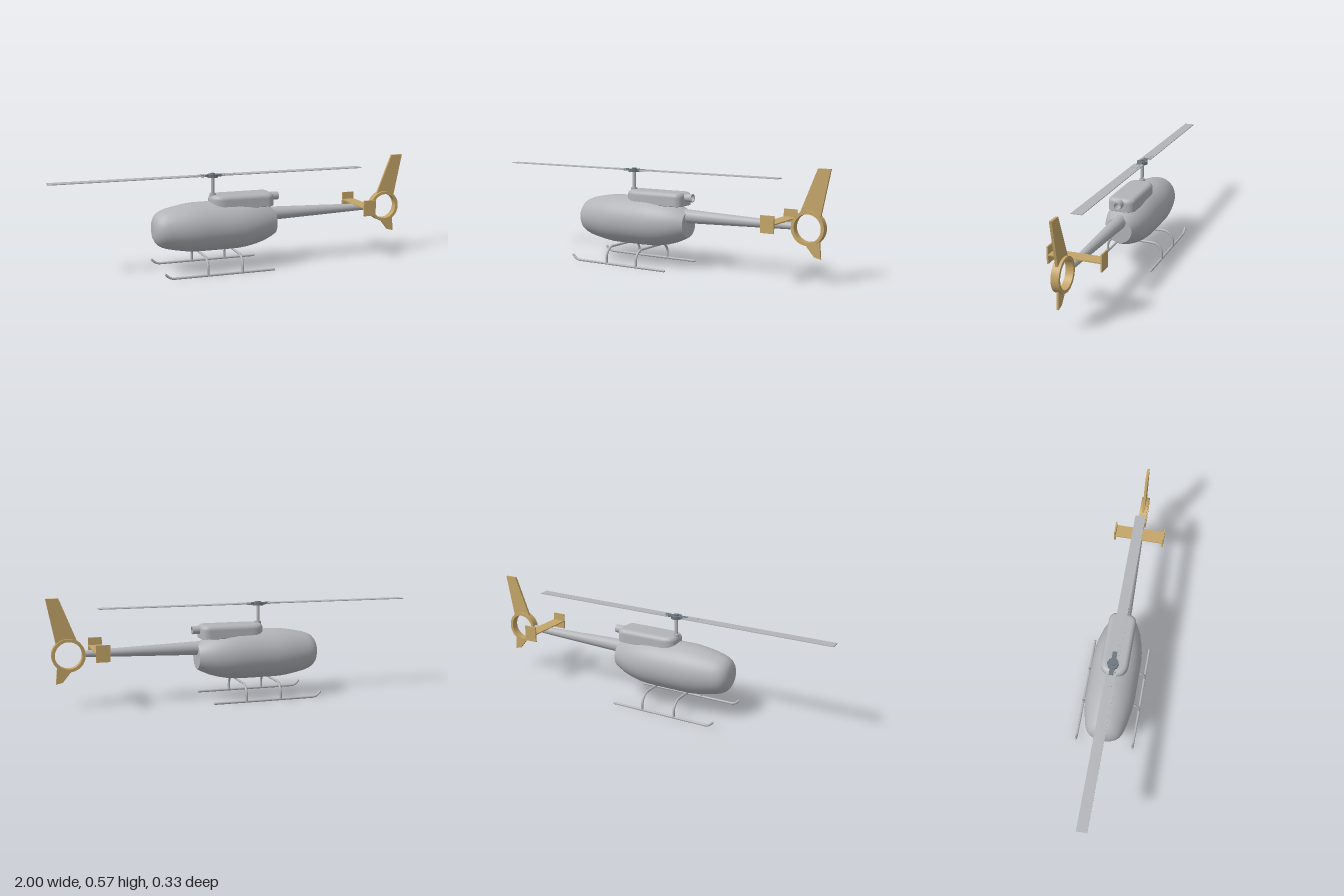
import * as THREE from 'three';

const paint = (name, color) => {
  const m = new THREE.MeshStandardMaterial({ color });
  m.name = name;
  return m;
};

export function createModel() {
  const model = new THREE.Group();
  model.name = 'helicopter';
  const grey = paint('bodyGrey', 0xb2b4b8);
  const tan = paint('tailTan', 0xc4a568);
  const dark = paint('hubGrey', 0x6c767e);

  const add = (name, geometry, material, x = 0, y = 0, z = 0) => {
    const mesh = new THREE.Mesh(geometry, material);
    mesh.name = name;
    mesh.position.set(x, y, z);
    model.add(mesh);
    return mesh;
  };
  const box = (name, material, w, h, d, x, y, z) =>
    add(name, new THREE.BoxGeometry(w, h, d), material, x, y, z);
  // Turned part whose axis runs along x; profile is [x, radius]
  const turned = (name, material, profile, y) => {
    const pts = profile.map(([x, r]) => new THREE.Vector2(r, x));
    const g = new THREE.LatheGeometry(pts, 48).rotateZ(-Math.PI / 2);
    return add(name, g, material, 0, y, 0);
  };
  // Flat plate drawn in the x-y plane, centred on z = 0
  const plate = (name, material, shape, depth) => {
    const g = new THREE.ExtrudeGeometry(shape, { depth, bevelEnabled: false, curveSegments: 32 });
    return add(name, g.translate(0, 0, -depth / 2), material);
  };
  const polygon = (pts) => new THREE.Shape(pts.map(([x, y]) => new THREE.Vector2(x, y)));

  // Fuselage with a flat rear bulkhead
  turned('fuselage', grey, [
    [-0.465, 0], [-0.465, 0.035], [-0.461, 0.055], [-0.452, 0.073], [-0.438, 0.088],
    [-0.42, 0.098], [-0.395, 0.107], [-0.35, 0.117], [-0.3, 0.126], [-0.25, 0.132],
    [-0.2, 0.133], [-0.06, 0.133], [0, 0.132], [0.05, 0.127], [0.1, 0.117],
    [0.15, 0.102], [0.19, 0.084], [0.215, 0.07],
  ], 0.236);
  add('rearBulkhead', new THREE.CircleGeometry(0.07, 48).rotateY(Math.PI / 2), grey, 0.215, 0.236);
  turned('tailBoom', grey, [[0.17, 0.038], [0.82, 0.017]], 0.28);

  // Engine cowling: rounded plan, wider radius at the front, soft top edge
  const bevel = 0.024;
  const x0 = -0.15 + bevel, x1 = 0.2 - bevel, w = 0.074 - bevel;
  const plan = new THREE.Shape();
  plan.moveTo(x0 + 0.05, -w);
  plan.lineTo(x1 - 0.02, -w);
  plan.quadraticCurveTo(x1, -w, x1, -w + 0.02);
  plan.lineTo(x1, w - 0.02);
  plan.quadraticCurveTo(x1, w, x1 - 0.02, w);
  plan.lineTo(x0 + 0.05, w);
  plan.quadraticCurveTo(x0, w, x0, w - 0.035);
  plan.lineTo(x0, -w + 0.035);
  plan.quadraticCurveTo(x0, -w, x0 + 0.05, -w);
  const cowl = new THREE.ExtrudeGeometry(plan, {
    depth: 0.045, bevelSize: bevel, bevelThickness: bevel, bevelSegments: 8, curveSegments: 12,
  }).rotateX(-Math.PI / 2);
  // Flatten the lower bevel so that only the top edge stays round
  const cp = cowl.attributes.position;
  for (let i = 0; i < cp.count; i++) if (cp.getY(i) < 0) cp.setY(i, cp.getY(i) * 0.2);
  cowl.computeVertexNormals();
  add('engineCowling', cowl, grey, 0, 0.336, 0);

  // Hollow exhaust
  turned('exhaust', grey, [[0.17, 0.022], [0.24, 0.022]], 0.378);
  turned('exhaustLip', grey, [[0.24, 0.022], [0.2401, 0.017]], 0.378);
  turned('exhaustBore', grey, [[0.24, 0.017], [0.205, 0.017], [0.205, 0]], 0.378);

  // Main rotor
  const rx = -0.1325;
  add('mastCollar', new THREE.CylinderGeometry(0.018, 0.018, 0.016, 32), grey, rx, 0.405);
  add('mast', new THREE.CylinderGeometry(0.009, 0.009, 0.11, 24), grey, rx, 0.452);
  add('rotorHub', new THREE.CylinderGeometry(0.031, 0.031, 0.016, 8), dark, rx, 0.507);
  add('hubCap', new THREE.CylinderGeometry(0.013, 0.013, 0.01, 24), dark, rx, 0.516);
  for (const s of [-1, 1]) {
    box('bladeGrip', dark, 0.05, 0.011, 0.024, rx + s * 0.04, 0.509, 0);
    box('bladeRoot', grey, 0.08, 0.008, 0.03, rx + s * 0.085, 0.51, 0);
    box('rotorBlade', grey, 0.8175, 0.004, 0.056, rx + s * 0.45875, 0.51, 0);
  }

  // Shrouded tail ring
  const ring = new THREE.Shape().absarc(0.893, 0.277, 0.086, 0, Math.PI * 2);
  ring.holes.push(new THREE.Path().absarc(0.893, 0.277, 0.07, 0, Math.PI * 2, true));
  plate('tailRing', tan, ring, 0.04);
  plate('upperFin', tan, polygon([
    [0.848, 0.35], [0.893, 0.355], [0.93, 0.345], [0.955, 0.338], [1, 0.57], [0.935, 0.57],
  ]), 0.013);
  plate('lowerFin', tan, polygon([
    [0.875, 0.198], [0.925, 0.137], [0.96, 0.128], [0.952, 0.215], [0.925, 0.208], [0.893, 0.199],
  ]), 0.011);

  // Stabiliser with end plates
  box('stabiliser', tan, 0.072, 0.006, 0.27, 0.736, 0.3, 0);
  for (const s of [-1, 1]) box('endPlate', tan, 0.072, 0.087, 0.008, 0.736, 0.299, s * 0.137);

  // Landing gear: capped bent tubes
  const tube = (name, path, r, segments) => {
    add(name, new THREE.TubeGeometry(path, segments, r, 16), grey);
    for (const t of [0, 1]) {
      const p = path.getPoint(t);
      add(name + 'End', new THREE.SphereGeometry(r, 16, 10), grey, p.x, p.y, p.z);
    }
  };
  const v = (x, y, z) => new THREE.Vector3(x, y, z);
  for (const s of [-1, 1]) {
    const z = s * 0.159;
    const skid = new THREE.CurvePath();
    skid.add(new THREE.QuadraticBezierCurve3(v(-0.436, 0.031, z), v(-0.417, 0.0065, z), v(-0.39, 0.0065, z)));
    skid.add(new THREE.LineCurve3(v(-0.39, 0.0065, z), v(0.16, 0.0065, z)));
    tube('skid', skid, 0.0065, 80);
  }
  for (const x of [-0.208, -0.016]) {
    const hoop = new THREE.CurvePath();
    const k = 0.104, b = 0.025;
    hoop.add(new THREE.LineCurve3(v(x, 0.008, -0.159), v(x, 0.039, -0.159)));
    hoop.add(new THREE.CubicBezierCurve3(v(x, 0.039, -0.159), v(x, 0.094 - b, -0.159), v(x, 0.094, -k - b), v(x, 0.094, -k)));
    hoop.add(new THREE.LineCurve3(v(x, 0.094, -k), v(x, 0.094, k)));
    hoop.add(new THREE.CubicBezierCurve3(v(x, 0.094, k), v(x, 0.094, k + b), v(x, 0.094 - b, 0.159), v(x, 0.039, 0.159)));
    hoop.add(new THREE.LineCurve3(v(x, 0.039, 0.159), v(x, 0.008, 0.159)));
    tube('skidHoop', hoop, 0.0065, 80);
  }
  return model;
}
